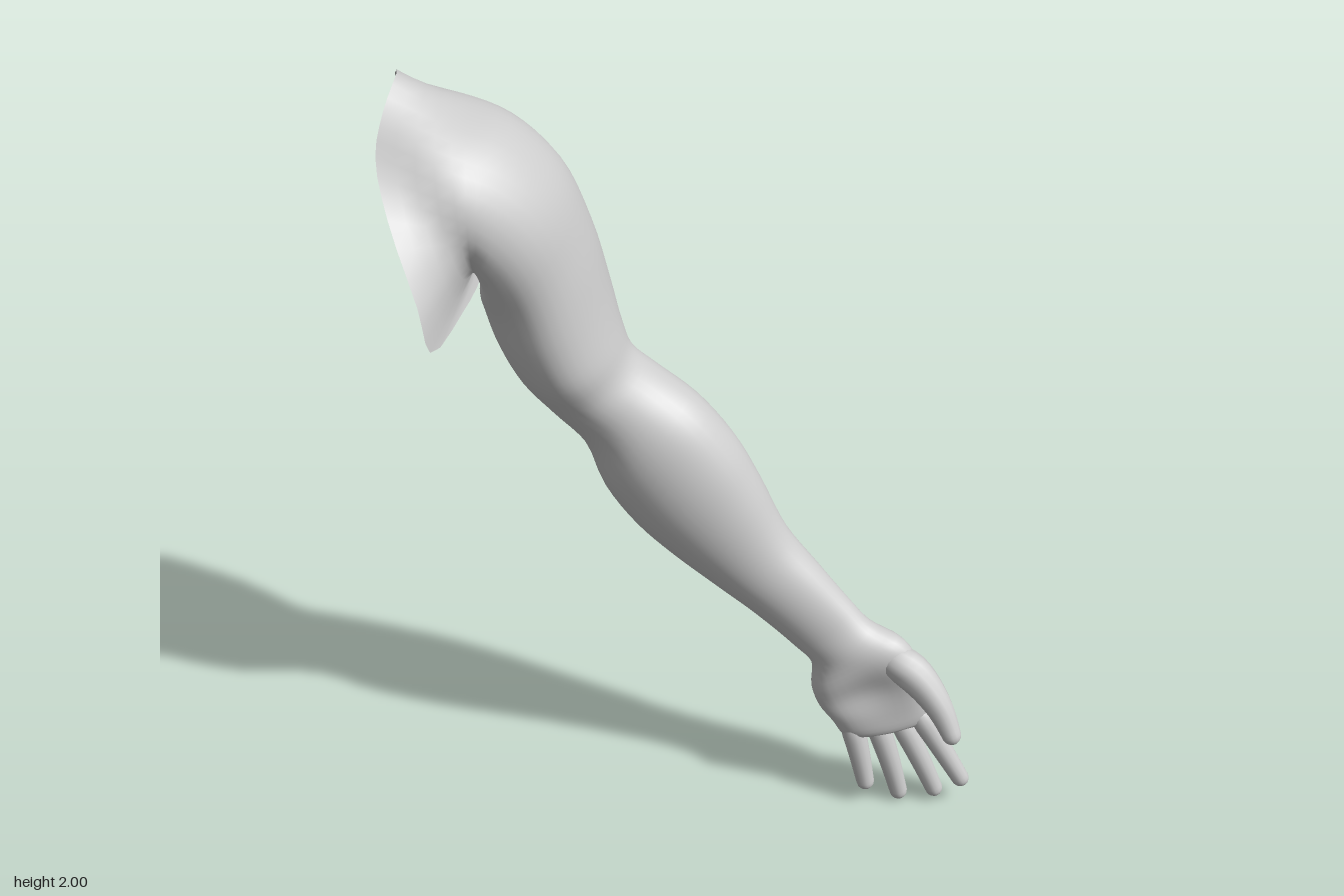
import * as THREE from 'three';

const V = (x, y, z) => new THREE.Vector3(x, y, z);
const SIDES = 36;

// Skin a list of closed rings and close the last one.
function skin(rings) {
  const n = rings[0].length, pos = [], index = [];
  rings.forEach(r => r.forEach(p => pos.push(p.x, p.y, p.z)));
  for (let i = 0; i < rings.length - 1; i++) {
    for (let j = 0; j < n; j++) {
      const a = i * n + j, b = i * n + (j + 1) % n, c = a + n, d = b + n;
      index.push(a, b, c, b, d, c);
    }
  }
  const last = rings[rings.length - 1], base = (rings.length - 1) * n;
  const mid = last.reduce((s, p) => s.add(p), V(0, 0, 0)).divideScalar(n);
  pos.push(mid.x, mid.y, mid.z);
  for (let j = 0; j < n; j++) index.push(base + j, base + (j + 1) % n, rings.length * n);
  const g = new THREE.BufferGeometry();
  g.setAttribute('position', new THREE.Float32BufferAttribute(pos, 3));
  g.setIndex(index);
  g.computeVertexNormals();
  return g;
}

// Cross-section between an outer and an inner point, with front and back depth.
// lean moves the widest line toward the back, dent hollows the front (palm).
function section([ax, ay, bx, by, zFront, zBack, lean = 0, dent = 0]) {
  return Array.from({ length: SIDES }, (_, j) => {
    const t = j / SIDES * Math.PI * 2, c = Math.cos(t), s = Math.sin(t);
    const z = (zFront + zBack) / 2 + s * (zFront - zBack) / 2
      - lean * c * c - dent * Math.max(0, s) ** 4;
    return V((ax + bx) / 2 + (ax - bx) * c / 2, (ay + by) / 2 + (ay - by) * c / 2, z);
  });
}

// Smooth the control rings along the limb.
function smoothRings(control, steps) {
  const count = (control.length - 1) * steps;
  const columns = control[0].map((_, j) =>
    new THREE.CatmullRomCurve3(control.map(r => r[j])));
  return Array.from({ length: count + 1 }, (_, i) =>
    columns.map(c => c.getPoint(i / count)));
}

// Tapered digit, rounded at the tip and, over a longer stretch, at the root.
function digit(points, r0, r1, root) {
  const curve = new THREE.CatmullRomCurve3(points);
  const length = curve.getLength(), steps = 24;
  const round = x => Math.sqrt(Math.max(0.0004, 1 - Math.max(0, 1 - x) ** 2));
  return skin(Array.from({ length: steps + 1 }, (_, i) => {
    const t = (1 - Math.cos(i / steps * Math.PI)) / 2;
    const p = curve.getPointAt(t), tan = curve.getTangentAt(t);
    const v = V(0, 0, 1).addScaledVector(tan, -tan.z).normalize();
    const u = v.clone().cross(tan);
    const r = THREE.MathUtils.lerp(r0, r1, t) * round(t / root) * round((1 - t) * length / r1);
    return Array.from({ length: 14 }, (_, j) => {
      const a = j / 14 * Math.PI * 2;
      return p.clone().addScaledVector(u, Math.cos(a) * r).addScaledVector(v, Math.sin(a) * r);
    });
  }));
}

export function createModel() {
  const group = new THREE.Group();
  const material = new THREE.MeshStandardMaterial({ color: 0xcccccc, side: THREE.DoubleSide });
  const add = (name, geometry) => {
    const mesh = new THREE.Mesh(geometry, material);
    mesh.name = name;
    group.add(mesh);
  };

  // Open rim at the shoulder, drawn out into the chest flap at the front
  const rimCurve = new THREE.CatmullRomCurve3([
    V(-0.66, 2.0, -0.08), V(-0.685, 1.95, 0.0), V(-0.70, 1.88, 0.07), V(-0.67, 1.785, 0.18),
    V(-0.605, 1.64, 0.305), V(-0.585, 1.53, 0.31), V(-0.53, 1.51, 0.12), V(-0.50, 1.50, -0.06),
    V(-0.50, 1.52, -0.21), V(-0.58, 1.66, -0.295), V(-0.655, 1.80, -0.31), V(-0.685, 1.90, -0.25),
  ], true);
  const rim = Array.from({ length: SIDES }, (_, j) => rimCurve.getPoint(j / SIDES));

  // Outer x, y, inner x, y, front z, back z, lean, dent
  const arm = [
    [-0.54, 1.92, -0.505, 1.54, 0.15, -0.312],         // shoulder
    [-0.42, 1.865, -0.50, 1.49, 0.14, -0.31, 0.01],
    [-0.31, 1.75, -0.51, 1.45, 0.125, -0.30, 0.02],
    [-0.245, 1.59, -0.505, 1.40, 0.105, -0.287, 0.03], // upper arm
    [-0.205, 1.43, -0.48, 1.31, 0.10, -0.265, 0.035],
    [-0.18, 1.33, -0.43, 1.215, 0.09, -0.23, 0.03],
    [-0.155, 1.265, -0.36, 1.125, 0.06, -0.198, 0.02], // elbow
    [-0.10, 1.22, -0.28, 1.03, 0.05, -0.19, 0.01],
    [0.0, 1.15, -0.235, 0.92, 0.075, -0.18],           // forearm
    [0.09, 1.04, -0.16, 0.81, 0.088, -0.165],
    [0.15, 0.93, -0.07, 0.72, 0.09, -0.14],
    [0.22, 0.785, 0.04, 0.63, 0.09, -0.10],
    [0.30, 0.69, 0.14, 0.555, 0.10, -0.055],
    [0.38, 0.60, 0.235, 0.475, 0.115, -0.01],          // wrist
    [0.43, 0.55, 0.283, 0.43, 0.135, 0.01],
    [0.515, 0.51, 0.285, 0.365, 0.165, 0.03, 0, 0.02], // palm
    [0.565, 0.42, 0.305, 0.31, 0.165, 0.045, 0, 0.035],
    [0.58, 0.335, 0.34, 0.262, 0.16, 0.065, 0, 0.015],
    [0.583, 0.275, 0.37, 0.215, 0.15, 0.085],
    [0.57, 0.25, 0.39, 0.205, 0.135, 0.10],
  ];
  add('armAndPalm', skin(smoothRings([rim, ...arm.map(section)], 4)));

  // Fingers: knuckle x, y, middle x, y, tip x, y, z
  const fingers = {
    littleFinger: [0.385, 0.27, 0.412, 0.16, 0.437, 0.04, 0.137],
    ringFinger: [0.445, 0.28, 0.49, 0.14, 0.527, 0.0, 0.13],
    middleFinger: [0.50, 0.29, 0.565, 0.15, 0.622, 0.01, 0.13],
    indexFinger: [0.545, 0.31, 0.62, 0.18, 0.69, 0.055, 0.14],
  };
  for (const [name, [kx, ky, mx, my, tx, ty, z]] of Object.entries(fingers)) {
    add(name, digit([V(kx, ky, 0.108), V(mx, my, 0.125), V(tx, ty, z)], 0.034, 0.022, 0.25));
  }

  // Thumb, swelling into the palm at its base
  add('thumb', digit([V(0.45, 0.48, 0.095), V(0.535, 0.435, 0.13), V(0.60, 0.365, 0.175),
    V(0.645, 0.275, 0.222)], 0.062, 0.022, 0.4));

  return group;
}
